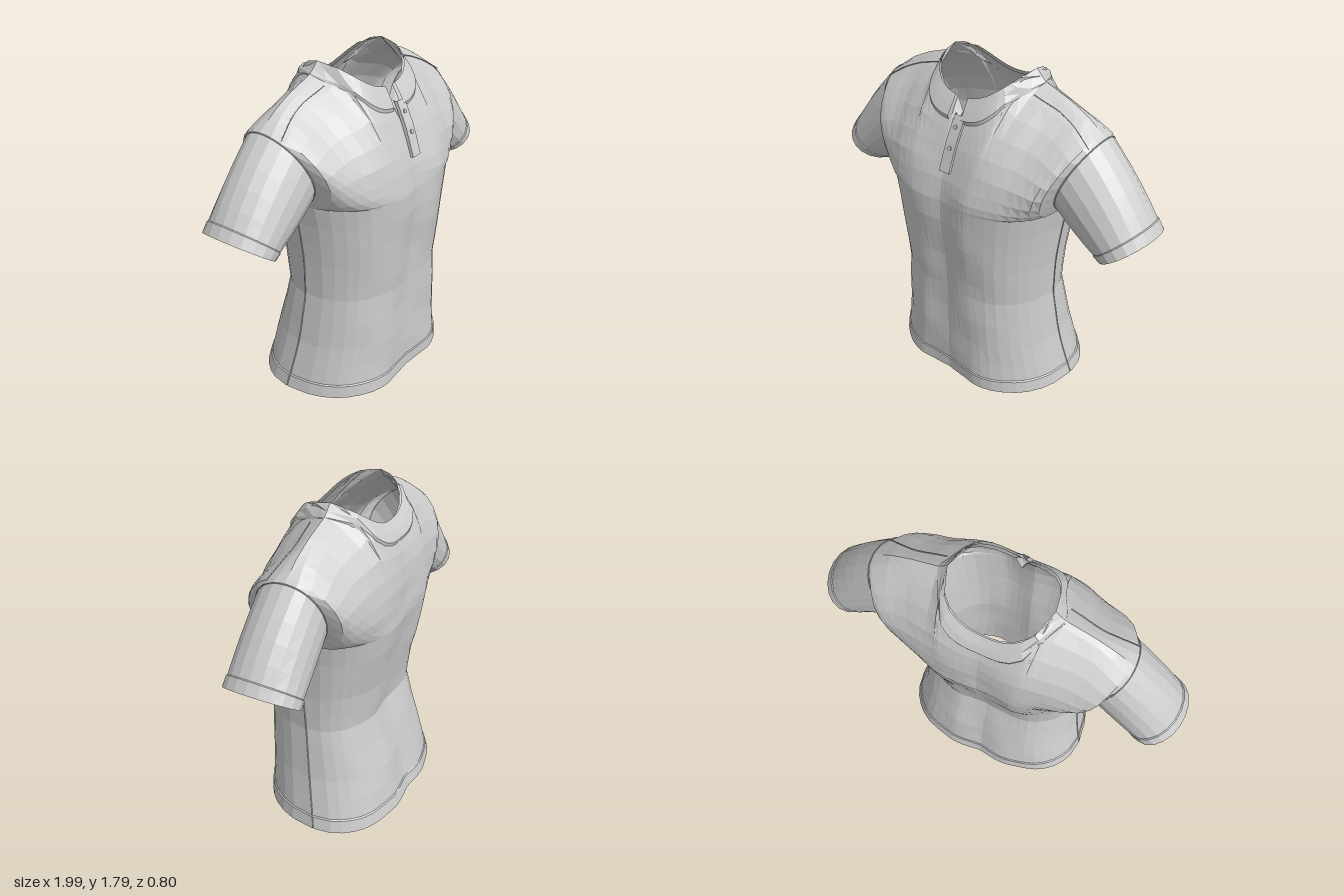
import * as THREE from 'three';

const fabric = new THREE.MeshStandardMaterial({ color: 0xcccccc, flatShading: true, side: THREE.DoubleSide });
const ARMPIT = 1.15;  // height where the armholes start
const NECK_U = 0.39;  // share of the half width taken by the neck opening
const { lerp, smoothstep } = THREE.MathUtils;

// Body sections: height, half width, front z, back z, side seam z
const BODY = [
  [0.005, 0.55, 0.373, -0.4, -0.07], [0.15, 0.52, 0.37, -0.37, -0.045], [0.3, 0.49, 0.368, -0.338, -0.02],
  [0.6, 0.458, 0.364, -0.253, 0.01], [0.8, 0.467, 0.38, -0.283, 0.015], [1.0, 0.487, 0.402, -0.325, 0.01],
  [ARMPIT, 0.515, 0.406, -0.35, 0],
];
// Shoulder line: share of the half width, height
const SHOULDER = [[NECK_U, 1.79], [0.46, 1.74], [0.67, 1.69], [0.83, 1.64], [1, 1.56]];

// Linear look-up in a table sorted by its first column
function sample(table, k) {
  let i = 0;
  while (i < table.length - 2 && k > table[i + 1][0]) i++;
  const a = table[i], b = table[i + 1];
  const f = THREE.MathUtils.clamp((k - a[0]) / (b[0] - a[0]), 0, 1);
  return a.map((v, j) => lerp(v, b[j], f));
}

// Height of the panel's top edge: neckline inside, shoulder seam outside
function topHeight(side, u) {
  if (u >= NECK_U) return sample(SHOULDER, u)[1];
  if (side > 0 && u < 0.05) return lerp(1.56, 1.64, u / 0.05); // front notch
  return 1.64 + 0.15 * Math.pow(u / NECK_U, 2.3);
}

// Point on the shirt. side: 1 front, -1 back; u: -1..1 across;
// v: 0..1 hem to armpit, 1..2 armpit to neckline and shoulder; off: lift outwards
function surface(side, u, v, off = 0) {
  const a = Math.min(1, Math.abs(u)), t = Math.max(0, v - 1);
  const [y0, halfW, zf, zb, zs] = sample(BODY, Math.min(1, v) * ARMPIT);
  const round = Math.sqrt(Math.max(0, 1 - Math.pow(a, 3))) * (1 - 0.06 * Math.max(0, 1 - a / 0.35));
  let z = zs + ((side > 0 ? zf : zb) - zs) * round;
  // soft cloth ripples, fading at the seams
  z += 0.006 * round * Math.sin(u * 9 + v * 7) * Math.sin(v * 11 - u * 4) * (1 - t);
  let x = halfW, y = y0;
  if (t > 0) {
    // rows start as smooth arcs and take the shape of the top edge higher up
    y = lerp(ARMPIT, lerp(1.72 - 0.16 * a ** 3, topHeight(side, a), t * t), t);
    x = halfW + 0.155 * Math.pow(t, 1.3);
    const neck = a < NECK_U ? Math.pow(1 - Math.pow(a / NECK_U, 3), 0.5) : 0;
    const blend = lerp(1 - Math.min(1, a / 0.7) ** 2, neck, t ** 3);
    const zTop = -0.04 + side * (side > 0 ? 0.23 : 0.18) * blend;
    const power = side > 0 ? 1.25 + 0.7 * smoothstep(a, 0, 0.6) : 3;
    z = lerp(z, zTop, Math.pow(t, power));
    z += side * 0.19 * Math.pow(a, 5) * 2 * Math.sqrt(t * (1 - t)); // oval armhole
  }
  return new THREE.Vector3(u * (x + off), y + off * t, z + side * off);
}

// Quad grid through rows of points
function sheet(name, rows) {
  const n = rows[0].length, index = [];
  for (let r = 0; r < rows.length - 1; r++) for (let c = 0; c < n - 1; c++) {
    const i = r * n + c;
    index.push(i, i + 1, i + n, i + 1, i + n + 1, i + n);
  }
  const g = new THREE.BufferGeometry().setFromPoints(rows.flat());
  g.setIndex(index);
  g.computeVertexNormals();
  const mesh = new THREE.Mesh(g, fabric);
  mesh.name = name;
  return mesh;
}

const range = (a, b, n) => Array.from({ length: n + 1 }, (_, i) => lerp(a, b, i / n));
const HALF = [0.05, 0.12, 0.2, 0.28, 0.34, 0.375, NECK_U, 0.46, 0.56, 0.67, 0.77, 0.85, 0.92, 0.97, 1];
const ACROSS = [...HALF.map(u => -u).reverse(), 0, ...HALF];
// Upper rows end on the same points of the armhole as the sleeve loops
const ARC = range(0, Math.PI, 10);
const armRow = phi => 1 + (1 - Math.cos(phi)) / 2;
const LEVELS = [0, 0.07, 0.16, 0.26, 0.39, 0.52, 0.6, 0.7, 0.8, 0.9, ...ARC.map(armRow)];

// Thin raised stitching line
function seam(name, points) {
  const curve = new THREE.CatmullRomCurve3(points);
  const mesh = new THREE.Mesh(new THREE.TubeGeometry(curve, points.length * 2, 0.003, 4), fabric);
  mesh.name = name;
  return mesh;
}

// Sleeve loops run armpit, front, shoulder, back, armpit
function sleeve(s) {
  const group = new THREE.Group();
  group.name = s > 0 ? 'leftSleeve' : 'rightSleeve';
  const angles = [...ARC, ...ARC.slice(1).map(phi => phi + Math.PI)];
  const loop = (k, off = 0) => {
    const pts = angles.map((phi, i) => {
      const p = surface(i < ARC.length ? 1 : -1, 1, armRow(phi));
      const lift = -Math.cos(phi), wide = Math.sin(phi);
      const cuff = new THREE.Vector3(0.875 + 0.118 * lift, 1.067 + 0.09 * lift, -0.02 + 0.19 * wide);
      p.lerp(cuff, k);
      const bulge = 0.018 * Math.sin(Math.PI * k);
      p.x += (bulge + off) * 0.8 * lift;
      p.y += (bulge + off) * 0.6 * lift;
      p.z += off * wide;
      p.x *= s;
      return p;
    });
    return s > 0 ? pts : pts.reverse();
  };
  group.add(sheet('sleeveTube', [0, 0.12, 0.3, 0.5, 0.7, 0.87, 1].map(k => loop(k))));
  group.add(sheet('cuffBand', [loop(0.87), loop(0.88, 0.005), loop(1, 0.005), loop(1)]));
  group.add(seam('armholeSeam', loop(0.01)));
  return group;
}

// Collar strip following the neckline, closing onto the shoulder at its ends
function collar(name, side, from, to) {
  return sheet(name, [0, 0.1, 0.5, 1].map((w, i) => range(from, to, 12).map(q => {
    const a = Math.abs(q);
    const depth = (side > 0 ? 0.27 : 0.24) * (1 - Math.pow(a, 4));
    const spread = lerp(0.48, NECK_U, w);
    return surface(side, side * q * spread, 2 - depth * (1 - w), i === 0 ? 0 : 0.01 * (1 - Math.pow(a, 6)));
  })));
}

export function createModel() {
  const shirt = new THREE.Group();
  shirt.name = 'shirt';

  // Body panels and hem
  for (const side of [1, -1]) {
    const word = side > 0 ? 'front' : 'back';
    const row = (v, off) => ACROSS.map(u => surface(side, side * u, v, off));
    shirt.add(sheet(word + 'Panel', LEVELS.map(v => row(v))));
    shirt.add(sheet(word + 'Hem', [row(0), row(0, 0.005), row(0.065, 0.005), row(0.07)]));
  }

  // Collar: one piece behind, two pieces meeting at the notch
  shirt.add(collar('backCollar', -1, -1, 1));
  shirt.add(collar('leftCollar', 1, 0.14, 1), collar('rightCollar', 1, -1, -0.14));

  // Button placket on the chest
  const profile = [[-0.012, -0.005], [-0.01, 0.014], [0.055, 0.014], [0.057, -0.005]];
  const placketRows = range(0.28, 0.82, 6).map(t => {
    const p = surface(1, 0.06, 1 + t);
    return profile.map(([x, z]) => new THREE.Vector3(x + 0.02 * (t - 0.5), p.y, p.z + z));
  });
  const foot = placketRows[0].map((p, i) => new THREE.Vector3(p.x, p.y, p.z - 0.005 - profile[i][1]));
  shirt.add(sheet('placket', [foot, ...placketRows]));
  for (const t of [0.5, 0.7]) {
    const p = surface(1, 0.06, 1 + t);
    const button = new THREE.Mesh(new THREE.CylinderGeometry(0.011, 0.011, 0.008, 10), fabric);
    button.name = 'button';
    button.position.set(0.024, p.y, p.z + 0.016);
    button.rotation.x = Math.PI / 2 - 0.4;
    shirt.add(button);
  }

  // Sleeves, side seams and shoulder seams
  for (const s of [1, -1]) {
    shirt.add(sleeve(s));
    shirt.add(seam('sideSeam', range(0, 1, 10).map(v => surface(1, s, v))));
    shirt.add(seam('shoulderSeam', range(0.47, 0.99, 8).map(u => surface(1, s * u, 1.93, 0.003))));
  }
  return shirt;
}
